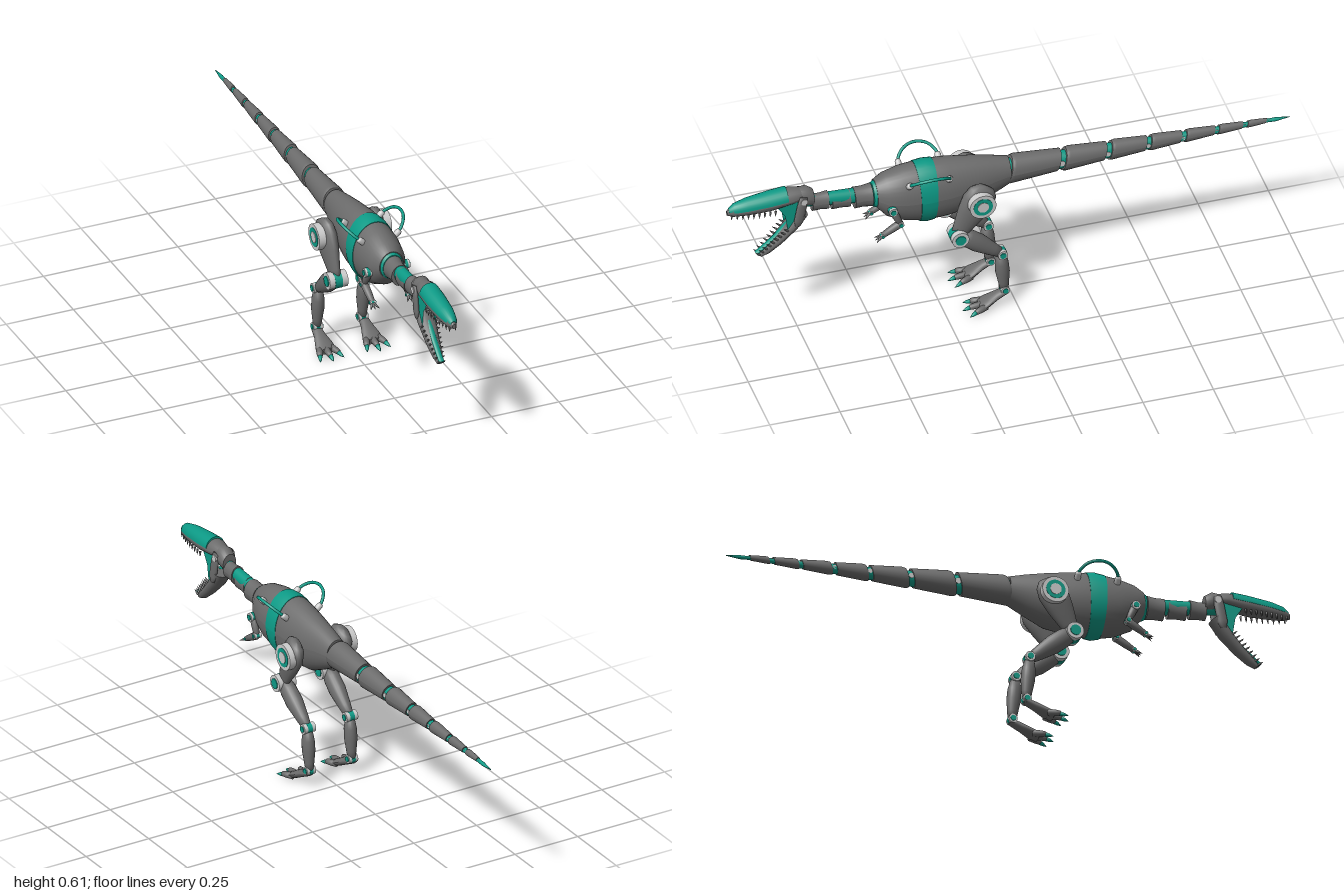
import * as THREE from 'three';

const dark = new THREE.MeshStandardMaterial({ color: 0x6c6c6c });
const light = new THREE.MeshStandardMaterial({ color: 0xcccccc });
const teal = new THREE.MeshStandardMaterial({ color: 0x0c9a86 });
const tealThin = new THREE.MeshStandardMaterial({ color: 0x0c9a86, side: THREE.DoubleSide });
const V = (x, y, z) => new THREE.Vector3(x, y, z);

function add(parent, name, geo, mat) {
  const m = new THREE.Mesh(geo, mat);
  m.name = name;
  parent.add(m);
  return m;
}

// Closed skin over rings [z, y, halfWidth, top, bottom, lean], ordered by rising z
function loft(sections, n = 24) {
  const pos = [], idx = [];
  const ring = ([z, y, w, t, b = t, lean = 0]) => {
    for (let j = 0; j <= n; j++) {
      const a = (j / n) * Math.PI * 2, s = Math.sin(a);
      pos.push(w * Math.cos(a), y + s * (s > 0 ? t : b), z + s * lean);
    }
  };
  sections.forEach(ring);
  const m = n + 1, last = sections.length - 1;
  for (let i = 0; i < last; i++) for (let j = 0; j < n; j++) {
    const a = i * m + j, d = a + m;
    idx.push(a, a + 1, d + 1, a, d + 1, d);
  }
  // End caps on their own vertices keep the rims sharp
  for (const [s, front] of [[sections[0], false], [sections[last], true]]) {
    const k = pos.length / 3;
    ring(s);
    pos.push(0, s[1], s[0]);
    for (let j = 0; j < n; j++) front ? idx.push(k + m, k + j, k + j + 1) : idx.push(k + m, k + j + 1, k + j);
  }
  const g = new THREE.BufferGeometry();
  g.setAttribute('position', new THREE.Float32BufferAttribute(pos, 3));
  g.setIndex(idx);
  g.computeVertexNormals();
  return g;
}

// Turned limb from a to b; profile holds [t, radius] pairs, flat squeezes it sideways
function limb(parent, name, a, b, profile, mat = dark, flat = 1) {
  const len = a.distanceTo(b);
  const pts = profile.map(([t, r]) => new THREE.Vector2(r, t * len));
  const m = add(parent, name, new THREE.LatheGeometry(pts, 20), mat);
  m.position.copy(a);
  m.quaternion.setFromUnitVectors(V(0, 1, 0), b.clone().sub(a).normalize());
  m.scale.x = flat;
  return m;
}
const spike = (parent, name, a, b, r, mat) => limb(parent, name, a, b, [[0, 0], [0, r], [0.5, r * 0.7], [1, 0]], mat);

// Round pin lying along x
function pin(parent, name, x, y, z, r, width, mat) {
  const m = add(parent, name, new THREE.CylinderGeometry(r, r, width, 28), mat);
  m.rotation.z = Math.PI / 2;
  m.position.set(x, y, z);
}
function joint(parent, name, x, y, z, r, width) {
  pin(parent, name + 'Core', x, y, z, r, width * 0.4, teal);
  for (const s of [-1, 1]) {
    pin(parent, name + 'Plate', x + s * width * 0.35, y, z, r * 0.97, width * 0.3, light);
    pin(parent, name + 'Cap', x + s * width * 0.5, y, z, r * 0.6, 0.006, teal);
  }
}

function buildTorso(g) {
  add(g, 'torso', loft([
    [0, 0.505, 0.04, 0.052], [0.06, 0.5, 0.05, 0.072, 0.08], [0.13, 0.49, 0.063, 0.096, 0.105],
    [0.22, 0.485, 0.076, 0.115, 0.112], [0.3, 0.485, 0.08, 0.121, 0.117], [0.38, 0.49, 0.078, 0.106, 0.103],
    [0.44, 0.495, 0.066, 0.085, 0.078], [0.475, 0.505, 0.045, 0.055, 0.045]], 36), dark);
  add(g, 'belt', loft([[0.272, 0.485, 0.08, 0.121, 0.118, -0.004], [0.3, 0.485, 0.082, 0.124, 0.121],
    [0.33, 0.486, 0.081, 0.118, 0.115, 0.004]], 36), teal);
  add(g, 'collar', loft([[0.465, 0.507, 0.047, 0.055], [0.485, 0.507, 0.036, 0.045]]), teal);
}

function buildTail(g) {
  add(g, 'tailCore', loft([[-0.93, 0.506, 0.006, 0.006], [0.03, 0.505, 0.034, 0.042]]), teal);
  const spans = [[0, -0.175], [-0.195, -0.34], [-0.36, -0.485], [-0.502, -0.61], [-0.628, -0.73], [-0.745, -0.83], [-0.848, -0.915]];
  const ring = (z, k) => [z, 0.507, (0.044 + z * 0.039) * k, (0.053 + z * 0.047) * k, undefined, -0.012 - z * 0.009];
  for (const [a, b] of spans) {
    add(g, 'tailSegment', loft([ring(b, 0.93), ring(a - 0.012, 1.03), ring(a, 0.95)]), dark);
    pin(g, 'tailPin', 0, 0.507, b - 0.008, 0.012 + b * 0.008, 0.07 + b * 0.066, light);
  }
  add(g, 'tailTip', loft([[-1, 0.505, 0.001, 0.001], [-0.95, 0.505, 0.007, 0.007], [-0.912, 0.506, 0.006, 0.006]]), teal);
}

function buildNeck(g) {
  add(g, 'neckCore', loft([[0.46, 0.508, 0.026, 0.032], [0.75, 0.535, 0.018, 0.02]]), teal);
  const parts = [[0.488, 0.55, 0.507, 0.036, 0.043], [0.565, 0.63, 0.511, 0.025, 0.035], [0.642, 0.7, 0.52, 0.026, 0.035]];
  for (const [a, b, y, w, h] of parts)
    add(g, 'neckSegment', loft([[a, y, w, h], [(a + b) / 2, y, w * 0.88, h * 0.9], [b, y, w * 0.92, h * 0.92]]), dark);
  add(g, 'neckHead', loft([[0.695, 0.545, 0.026, 0.032], [0.72, 0.556, 0.032, 0.038], [0.755, 0.56, 0.026, 0.03]]), dark);
}

function buildHead(g) {
  add(g, 'skull', loft([
    [0.73, 0.567, 0.024, 0.022, 0.022], [0.775, 0.563, 0.035, 0.034, 0.022], [0.85, 0.556, 0.035, 0.036, 0.03],
    [0.93, 0.549, 0.029, 0.033, 0.025], [0.98, 0.545, 0.019, 0.024, 0.02], [1, 0.542, 0.007, 0.008, 0.01]]), dark);
  add(g, 'crest', loft([
    [0.79, 0.567, 0.036, 0.036, 0], [0.85, 0.561, 0.036, 0.036, 0], [0.93, 0.554, 0.03, 0.032, 0],
    [0.975, 0.549, 0.021, 0.025, 0], [0.994, 0.546, 0.01, 0.012, 0]]), teal);

  // Lower jaw hangs open, with a tongue along its inner face
  const jaw = [[0.735, 0.495, 0.036, 0.012, 0.012, 0.02], [0.77, 0.445, 0.033, 0.014, 0.014, 0.018],
    [0.82, 0.39, 0.025, 0.013, 0.013, 0.014], [0.86, 0.355, 0.018, 0.012, 0.012, 0.012], [0.883, 0.337, 0.011, 0.006, 0.006, 0.006]];
  add(g, 'lowerJaw', loft(jaw), dark);
  add(g, 'tongue', loft(jaw.map(([z, y, w]) => [z + 0.012, y + 0.011, 0.01, 0.004, 0.004, 0.005])), teal);

  // Cheek skin between the jaws
  const web = new THREE.Shape([[0.75, 0.56], [0.825, 0.54], [0.8, 0.5], [0.79, 0.435], [0.755, 0.47]].map(p => new THREE.Vector2(...p)));
  for (const s of [-1, 1]) {
    const cheek = add(g, 'cheek', new THREE.ShapeGeometry(web), tealThin);
    cheek.rotation.y = -Math.PI / 2;
    cheek.position.x = s * 0.025;
    limb(g, 'jawArm', V(s * 0.03, 0.57, 0.735), V(s * 0.031, 0.455, 0.757),
      [[0, 0], [0, 0.014], [0.3, 0.018], [0.8, 0.018], [1, 0.01], [1, 0]], dark, 0.5);
    pin(g, 'jawPin', s * 0.032, 0.555, 0.735, 0.012, 0.014, light);
    for (let i = 0; i < 9; i++) {
      const t = i / 8, z = 0.835 + t * 0.15, w = 0.031 - 0.02 * t * t, y = 0.535 + t * 0.002;
      spike(g, 'upperTooth', V(s * w, y, z), V(s * w, y - 0.022, z + 0.002), 0.004, dark);
      const u = i / 8, z2 = 0.79 + u * 0.095, y2 = 0.437 - u * 0.095, w2 = 0.027 - u * 0.018;
      spike(g, 'lowerTooth', V(s * w2, y2, z2), V(s * (w2 + 0.003), y2 + 0.014, z2 + 0.018), 0.004, dark);
    }
  }
}

function buildLeg(g, s) {
  const leg = new THREE.Group();
  leg.name = s > 0 ? 'leftLeg' : 'rightLeg';
  g.add(leg);
  const x = s * 0.087;
  limb(leg, 'thigh', V(s * 0.094, 0.525, 0.105), V(x, 0.335, 0.205),
    [[0, 0], [0.02, 0.03], [0.12, 0.05], [0.3, 0.058], [0.55, 0.05], [0.85, 0.034], [1, 0.026], [1, 0]], dark, 0.52);
  pin(leg, 'hipPlate', s * 0.122, 0.47, 0.13, 0.047, 0.026, light);
  pin(leg, 'hipRing', s * 0.123, 0.47, 0.13, 0.034, 0.027, teal);
  pin(leg, 'hipHub', s * 0.123, 0.47, 0.13, 0.02, 0.031, light);
  joint(leg, 'knee', x, 0.333, 0.205, 0.031, 0.068);
  limb(leg, 'shin', V(x, 0.335, 0.2), V(s * 0.084, 0.22, 0.052),
    [[0, 0], [0, 0.026], [0.2, 0.033], [0.45, 0.034], [0.8, 0.024], [1, 0.017], [1, 0]], dark, 0.85);
  joint(leg, 'ankle', s * 0.084, 0.222, 0.05, 0.018, 0.044);
  limb(leg, 'shank', V(s * 0.084, 0.215, 0.052), V(s * 0.084, 0.065, 0.04),
    [[0, 0], [0, 0.017], [0.25, 0.024], [0.5, 0.025], [0.8, 0.019], [1, 0.015], [1, 0]], dark, 0.9);
  joint(leg, 'heel', s * 0.084, 0.065, 0.04, 0.016, 0.034);
  const foot = add(leg, 'foot', loft([[0.03, 0.06, 0.016, 0.012], [0.07, 0.043, 0.021, 0.016],
    [0.105, 0.026, 0.032, 0.014, 0.017], [0.132, 0.015, 0.036, 0.009, 0.012]]), dark);
  foot.position.x = x;
  for (const d of [-1, 0, 1]) {
    const out = x + d * 0.036, z = d ? 0.155 : 0.168;
    limb(leg, 'toe', V(x + d * 0.02, 0.018, 0.11), V(out, 0.012, z),
      [[0, 0], [0, 0.012], [0.6, 0.011], [0.9, 0.009], [1, 0]]);
    spike(leg, 'claw', V(out - d * 0.002, 0.011, z - 0.005), V(out + d * 0.008, 0.003, z + 0.022), 0.008, teal);
  }
}

function buildArm(g, s) {
  const arm = new THREE.Group();
  arm.name = s > 0 ? 'leftArm' : 'rightArm';
  g.add(arm);
  const shoulder = V(s * 0.066, 0.475, 0.432), elbow = V(s * 0.07, 0.415, 0.405), wrist = V(s * 0.068, 0.376, 0.468);
  const taper = [[-0.15, 0], [-0.1, 0.01], [0.1, 0.014], [0.5, 0.013], [1, 0.01], [1, 0]];
  limb(arm, 'upperArm', shoulder, elbow, taper);
  limb(arm, 'forearm', elbow, wrist, taper);
  joint(arm, 'shoulder', shoulder.x + s * 0.004, shoulder.y, shoulder.z, 0.016, 0.026);
  joint(arm, 'elbow', elbow.x, elbow.y, elbow.z, 0.011, 0.026);
  joint(arm, 'wrist', wrist.x, wrist.y, wrist.z, 0.008, 0.02);
  for (const d of [-1, 0, 1])
    spike(arm, 'finger', wrist, V(wrist.x + d * 0.017, wrist.y - 0.016, wrist.z + 0.026), 0.006, dark);
}

// Hoop hose standing out of the back, with a socket at each end
function buildHose(g, s) {
  const path = new THREE.CatmullRomCurve3([V(s * 0.058, 0.557, 0.37), V(s * 0.082, 0.578, 0.366),
    V(s * 0.105, 0.6, 0.338), V(s * 0.113, 0.608, 0.3), V(s * 0.105, 0.6, 0.258), V(s * 0.082, 0.578, 0.232), V(s * 0.058, 0.557, 0.228)]);
  add(g, 'hose', new THREE.TubeGeometry(path, 40, 0.0055, 10), teal);
  for (const z of [0.37, 0.229])
    limb(g, 'hoseSocket', V(s * 0.052, 0.55, z), V(s * 0.078, 0.574, z), [[0, 0], [0, 0.011], [0.8, 0.011], [1, 0.008], [1, 0]], light);
}

export function createModel() {
  const g = new THREE.Group();
  g.name = 'mechanicalDinosaur';
  buildTorso(g);
  buildTail(g);
  buildNeck(g);
  buildHead(g);
  for (const s of [1, -1]) {
    buildLeg(g, s);
    buildArm(g, s);
    buildHose(g, s);
  }
  return g;
}
